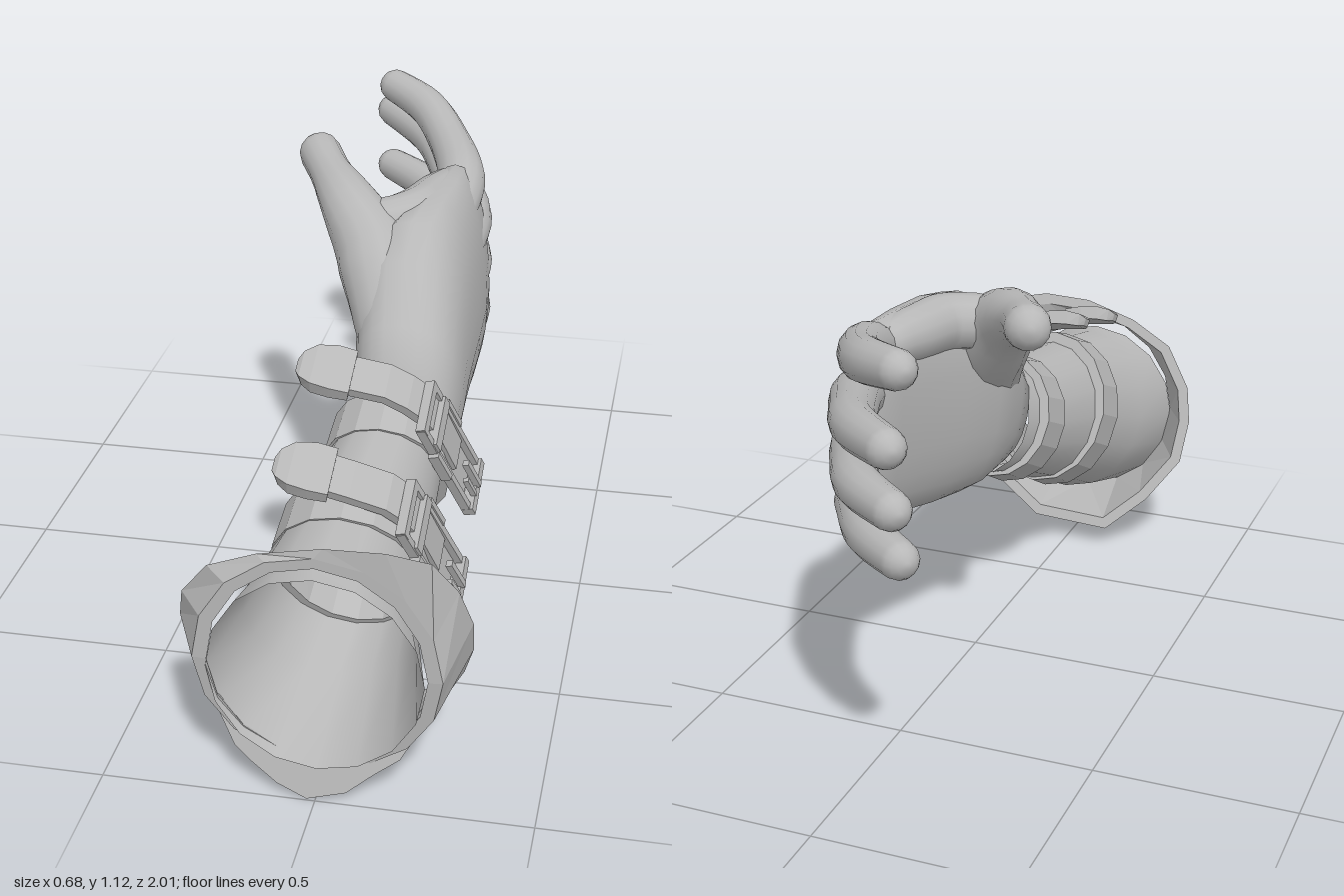
import * as THREE from 'three';

const V = (x, y, z) => new THREE.Vector3(x, y, z);

// Skin a list of equal-length rings (counter-clockwise about the travel direction).
function loft(rings, { caps = true, loop = false, flat = false } = {}) {
  const n = rings[0].length, pos = [], idx = [];
  rings.forEach(r => r.forEach(p => pos.push(p.x, p.y, p.z)));
  const last = loop ? rings.length : rings.length - 1;
  for (let i = 0; i < last; i++) {
    for (let j = 0; j < n; j++) {
      const k = (j + 1) % n, i2 = (i + 1) % rings.length;
      const a = i * n + j, b = i * n + k, c = i2 * n + j, d = i2 * n + k;
      idx.push(a, b, c, b, d, c);
    }
  }
  if (caps && !loop) {
    for (const end of [0, rings.length - 1]) {
      const m = V(0, 0, 0);
      rings[end].forEach(p => m.addScaledVector(p, 1 / n));
      const c = pos.length / 3;
      pos.push(m.x, m.y, m.z);
      for (let j = 0; j < n; j++) {
        const a = end * n + j, b = end * n + (j + 1) % n;
        if (end) idx.push(a, b, c); else idx.push(b, a, c);
      }
    }
  }
  let g = new THREE.BufferGeometry();
  g.setAttribute('position', new THREE.Float32BufferAttribute(pos, 3));
  g.setIndex(idx);
  if (flat) g = g.toNonIndexed();
  g.computeVertexNormals();
  return g;
}

// Rounded ring facing -z, leaning back by tilt; power below 1 squares it off.
function ring(cx, cy, cz, rx, ry, tilt = 0, n = 20, power = 1) {
  const f = v => Math.sign(v) * Math.pow(Math.abs(v), power);
  return Array.from({ length: n }, (_, i) => {
    const a = i / n * Math.PI * 2, v = ry * f(Math.sin(a));
    return V(cx - rx * f(Math.cos(a)), cy + v * Math.cos(tilt), cz + v * Math.sin(tilt));
  });
}

// Round tapering tube with a domed tip.
function finger(points, radii) {
  const curve = new THREE.CatmullRomCurve3(points.map(p => V(...p)));
  const rings = [], len = curve.getLength(), steps = 18, n = 14;
  const tip = radii[radii.length - 1] / len;
  const stops = Array.from({ length: steps }, (_, i) => i / steps * (1 - tip));
  for (const s of [0, 0.35, 0.65, 0.87, 0.985]) stops.push(1 - tip + tip * s);
  for (const t of stops) {
    const c = curve.getPointAt(t), T = curve.getTangentAt(t);
    const u = V(0, 1, 0).cross(T).normalize(), v = T.clone().cross(u);
    const q = t * (radii.length - 1), k = Math.min(Math.floor(q), radii.length - 2);
    let r = THREE.MathUtils.lerp(radii[k], radii[k + 1], q - k);
    const s = (t - 1 + tip) / tip;
    if (s > 0) r *= Math.sqrt(1 - s * s);
    rings.push(Array.from({ length: n }, (_, i) => {
      const a = i / n * Math.PI * 2;
      return c.clone().addScaledVector(u, r * Math.cos(a)).addScaledVector(v, r * Math.sin(a));
    }));
  }
  return loft(rings);
}

export function createModel() {
  const model = new THREE.Group();
  model.name = 'glovedHand';
  const grey = new THREE.MeshStandardMaterial({ color: 0xb8b8b8, side: THREE.DoubleSide });
  grey.name = 'grey';
  const add = (name, geometry, parent = model) => {
    const m = new THREE.Mesh(geometry, grey);
    m.name = name;
    parent.add(m);
    return m;
  };
  const TILT = 0.42;

  // Open forearm sleeve, narrowing to the wrist
  add('sleeve', loft([
    ring(0.005, 0.345, 1.0, 0.245, 0.25, 0, 16),
    ring(0.005, 0.385, 0.84, 0.2, 0.235, TILT, 16),
    ring(0.025, 0.45, 0.64, 0.165, 0.205, TILT, 16),
    ring(0.045, 0.535, 0.33, 0.135, 0.155, TILT, 16),
    ring(0.06, 0.575, 0.22, 0.125, 0.16, TILT, 16),
  ], { caps: false }));

  // Palm and back of the hand: z, bottom, top, palm side x, back side x, tilt
  const palm = [
    [0.24, 0.425, 0.725, -0.065, 0.182, 0.4],
    [0.14, 0.435, 0.82, -0.08, 0.188, 0.25],
    [0.05, 0.44, 0.94, -0.09, 0.192, 0.1],
    [-0.03, 0.445, 1.0, -0.08, 0.195, 0],
    [-0.14, 0.455, 1.02, -0.035, 0.195, 0],
    [-0.28, 0.48, 1.025, 0.015, 0.193, 0],
    [-0.38, 0.505, 1.025, 0.04, 0.186, 0],
    [-0.44, 0.535, 1.0, 0.06, 0.17, 0],
    [-0.47, 0.59, 0.94, 0.085, 0.145, 0],
  ];
  add('palm', loft(palm.map(([z, b, t, x0, x1, tilt]) => {
    const r = ring((x0 + x1) / 2, (b + t) / 2, z, (x1 - x0) / 2, (t - b) / 2, tilt, 24, 0.85);
    r.forEach(p => { p.x -= 0.08 * (p.y - 0.72); });
    return r;
  })));

  // Fingers curling towards the palm side
  const fingers = {
    indexFinger: [[0.1, 0.91, -0.26], [0.1, 0.965, -0.42], [0.03, 1.015, -0.61], [-0.05, 1.055, -0.74], [-0.19, 1.088, -0.86]],
    middleFinger: [[0.125, 0.83, -0.26], [0.12, 0.855, -0.43], [0.035, 0.9, -0.65], [-0.05, 0.935, -0.82], [-0.22, 0.965, -1.0]],
    ringFinger: [[0.13, 0.715, -0.26], [0.12, 0.735, -0.44], [0.04, 0.765, -0.64], [-0.045, 0.79, -0.8], [-0.215, 0.807, -0.96]],
    littleFinger: [[0.125, 0.59, -0.26], [0.12, 0.6, -0.43], [0.045, 0.625, -0.6], [-0.04, 0.645, -0.74], [-0.2, 0.66, -0.89]],
  };
  for (const [name, path] of Object.entries(fingers)) {
    add(name, finger(path, [0.055, 0.064, 0.056, 0.052, 0.044]));
  }

  // Thumb with its broad base, and the web of skin to the index finger
  add('thumb', finger([
    [0.04, 0.63, 0.17], [0.005, 0.77, 0.07], [-0.055, 0.89, -0.04], [-0.135, 0.975, -0.13],
    [-0.215, 1.02, -0.25], [-0.295, 1.05, -0.405],
  ], [0.07, 0.1, 0.108, 0.08, 0.054, 0.057]));
  add('thumbWeb', finger([
    [-0.15, 0.98, -0.135], [-0.07, 0.955, -0.105], [0.015, 0.96, -0.16], [0.05, 0.962, -0.27], [0.085, 0.965, -0.41],
  ], [0.05, 0.07, 0.072, 0.066, 0.05]));

  // Turn-back cuff: from the open end out to the leaning, slightly uneven rim and back inside
  const endRing = (rx, bottom, top) => ring(0.01, (bottom + top) / 2, 1, rx, (top - bottom) / 2, 0, 16).map(p => {
    p.z -= 0.11 * Math.max(0, 0.36 - p.y);
    return p;
  });
  const rimOutline = [[-0.335, 0.38], [-0.315, 0.47], [-0.24, 0.575], [-0.12, 0.635], [0.03, 0.675], [0.165, 0.68],
    [0.262, 0.66], [0.315, 0.57], [0.34, 0.46], [0.335, 0.36], [0.31, 0.27], [0.245, 0.165], [0.09, 0.07],
    [-0.13, 0.06], [-0.24, 0.155], [-0.325, 0.27]];
  const rim = s => rimOutline.map(([x, y]) => {
    const h = 0.37 + (y - 0.37) * s;
    return V(x * s, h, Math.min(1, 0.86 + (h - 0.37) * 0.45));
  });
  add('cuff', loft([endRing(0.28, 0.08, 0.65), rim(1), rim(0.91), endRing(0.247, 0.1, 0.625)],
    { loop: true, flat: true }));

  // Small flap hanging below the open end
  const flap = new THREE.Shape([[-0.23, 0.19], [-0.19, 0.11], [-0.15, 0.075], [-0.09, 0.03], [-0.02, 0], [0.07, 0.025],
    [0.13, 0.075], [0.19, 0.12], [0.23, 0.19], [0.15, 0.125], [0.07, 0.095], [-0.07, 0.095], [-0.15, 0.125]]
    .map(p => new THREE.Vector2(...p)));
  const flapMesh = add('cuffFlap', new THREE.ExtrudeGeometry(flap, { depth: 0.008, bevelEnabled: false }));
  flapMesh.position.set(0, 0.003, 0.99);
  flapMesh.rotation.x = -0.25;

  // Buckled strap: local y runs up the arm's side, local z along the arm
  function strap(name, cx, cy, cz, rx, ry, tipX) {
    const g = new THREE.Group();
    g.name = name;
    g.position.set(cx, cy, cz);
    g.rotation.x = TILT;
    model.add(g);

    // Band round the arm
    add('band', loft([
      ring(0, 0, 0.06, rx - 0.02, ry - 0.02, 0, 16), ring(0, 0, 0.06, rx + 0.008, ry + 0.008, 0, 16),
      ring(0, 0, -0.06, rx, ry, 0, 16), ring(0, 0, -0.06, rx - 0.03, ry - 0.03, 0, 16),
    ], { loop: true, flat: true }), g);

    // Free end: rectangular cross-sections [x, y, half width, half thickness]
    const ribbon = (part, rows) => {
      const rings = rows.map(([x, y, w, h], i) => {
        const a = rows[Math.max(i - 1, 0)], b = rows[Math.min(i + 1, rows.length - 1)];
        const d = V(b[0] - a[0], b[1] - a[1], 0).normalize(), nx = -d.y * h, ny = d.x * h;
        return [[1, -1], [1, 1], [-1, 1], [-1, -1]].map(([s, t]) => V(x + nx * s, y + ny * s, w * t - 0.022));
      });
      add(part, loft(rings, { flat: true }), g);
    };
    ribbon('strapTip', [
      [tipX, 0.28, 0.018, 0.01], [tipX + 0.012, 0.282, 0.038, 0.016], [tipX + 0.04, 0.283, 0.058, 0.018],
      [tipX + 0.085, 0.278, 0.066, 0.017], [tipX + 0.13, 0.268, 0.064, 0.015],
    ]);
    ribbon('strapEnd', [
      [tipX + 0.11, 0.27, 0.05, 0.012], [0.01, 0.248, 0.05, 0.012], [rx - 0.09, 0.215, 0.05, 0.012],
      [rx - 0.05, 0.175, 0.05, 0.012], [rx - 0.02, 0.11, 0.05, 0.012], [rx + 0.01, 0, 0.05, 0.012],
    ]);

    // Buckle frame with bars and prong, leaning out at its lower end
    const buckle = new THREE.Group();
    buckle.name = 'buckle';
    buckle.position.set(rx + 0.002, 0.05, 0);
    buckle.rotation.z = 0.3;
    g.add(buckle);
    const box = (part, w, h, d, x, y, z) =>
      add(part, new THREE.BoxGeometry(w, h, d), buckle).position.set(x, y, z);
    for (const s of [-1, 1]) {
      box('sideRail', 0.022, 0.32, 0.018, 0, 0, s * 0.068);
      box('sideLug', 0.026, 0.09, 0.016, 0.002, 0.03, s * 0.08);
    }
    box('upperBar', 0.024, 0.022, 0.15, 0, 0.152, 0);
    box('middleBar', 0.03, 0.03, 0.145, 0.004, 0.09, 0);
    box('lowerBar', 0.03, 0.022, 0.155, 0.004, -0.16, 0);
    box('prong', 0.016, 0.09, 0.016, 0.02, -0.11, 0);
    box('prongGuard', 0.014, 0.06, 0.012, 0.016, -0.12, 0.032);
    box('backing', 0.012, 0.28, 0.12, -0.012, 0, 0);
  }
  strap('wristStrap', 0.045, 0.535, 0.33, 0.148, 0.17, -0.2);
  strap('forearmStrap', 0.025, 0.45, 0.65, 0.18, 0.216, -0.16);

  return model;
}
